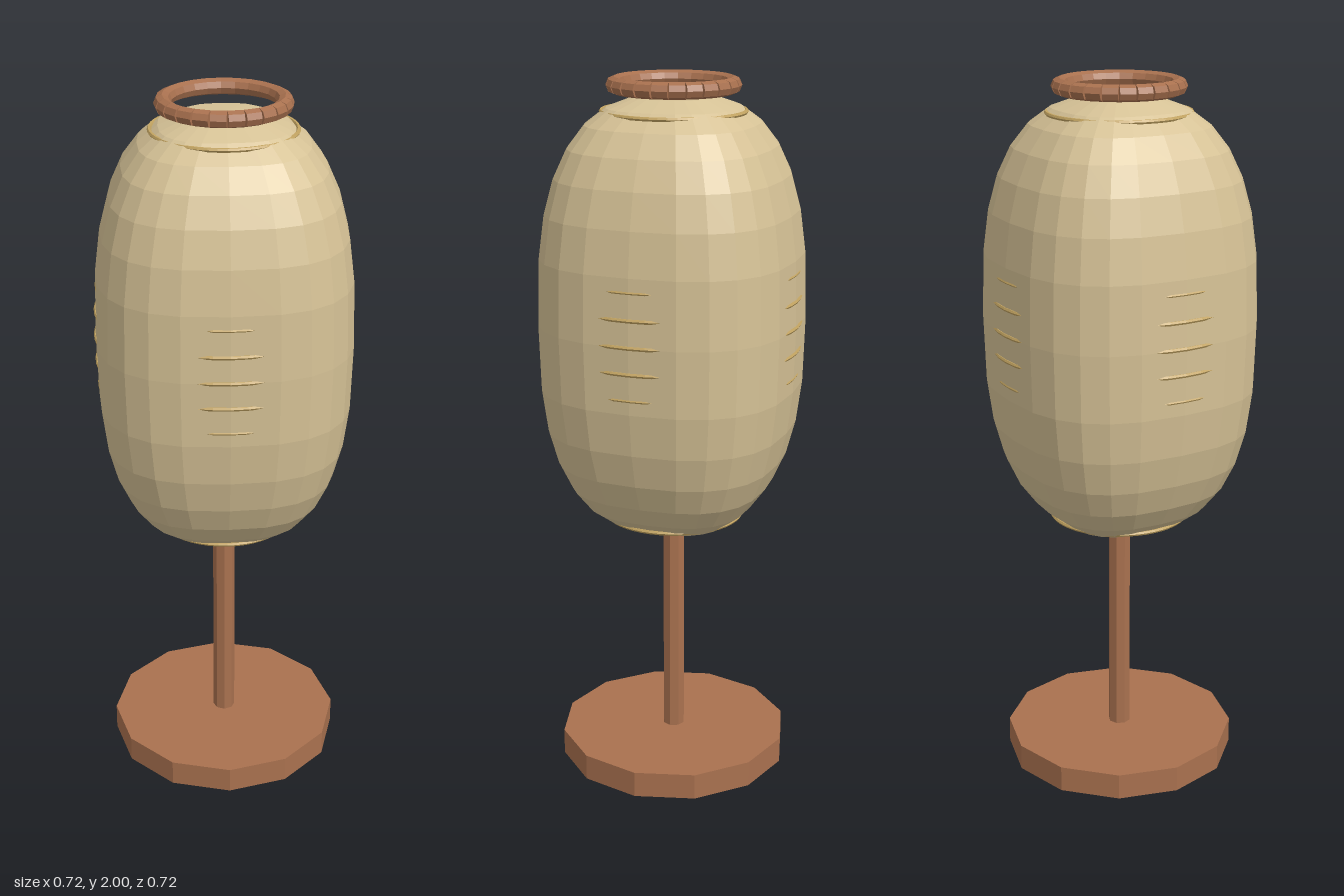
import * as THREE from 'three';

const material = (name, color) => {
  const m = new THREE.MeshStandardMaterial({ color, flatShading: true });
  m.name = name;
  return m;
};

export function createModel() {
  const model = new THREE.Group();
  model.name = 'lanternLamp';
  const wood = material('wood', 0xa9714f);
  const paper = material('paper', 0xd6c296);
  const cane = material('cane', 0xc4a562);

  const add = (name, geometry, mat, x = 0, y = 0, z = 0, parent = model) => {
    const mesh = new THREE.Mesh(geometry, mat);
    mesh.name = name;
    mesh.position.set(x, y, z);
    parent.add(mesh);
    return mesh;
  };

  // Twelve-sided foot and slim pole
  add('base', new THREE.CylinderGeometry(0.334, 0.334, 0.075, 12), wood, 0, 0.0375, 0);
  add('pole', new THREE.CylinderGeometry(0.032, 0.032, 0.67, 8), wood, 0, 0.4, 0);

  // Paper shade: a sphere squared off by a power rule, then stretched
  const centreY = 1.335;
  const shade = new THREE.SphereGeometry(1, 24, 16);
  const pos = shade.attributes.position;
  const square = (v) => (Math.abs(v) < 1e-6 ? 0 : Math.sign(v) * Math.abs(v) ** 0.74);
  for (let i = 0; i < pos.count; i++) {
    pos.setXYZ(i, 0.355 * square(pos.getX(i)), 0.62 * square(pos.getY(i)), 0.355 * square(pos.getZ(i)));
  }
  shade.computeVertexNormals();
  add('shade', shade, paper, 0, centreY, 0);

  // Round cane hoops that break the surface only at the middle of each side
  const ribs = new THREE.Group();
  ribs.name = 'ribs';
  model.add(ribs);
  const hoop = (dy, radius) => {
    const geo = new THREE.TorusGeometry(radius, 0.006, 6, 48).rotateX(Math.PI / 2);
    add('rib', geo, cane, 0, centreY + dy, 0, ribs);
  };
  hoop(0, 0.354);
  for (const side of [-1, 1]) {
    hoop(side * 0.073, 0.352);
    hoop(side * 0.146, 0.347);
    hoop(side * 0.573, 0.196);
  }

  // Top collar of short rods, leaving wedge gaps on the outer edge
  const collar = new THREE.Group();
  collar.name = 'collar';
  model.add(collar);
  const count = 24, radius = 0.16;
  const rod = new THREE.CylinderGeometry(0.0225, 0.0225, (2 * Math.PI * radius) / count, 8).rotateZ(Math.PI / 2);
  for (let i = 0; i < count; i++) {
    const a = ((i + 0.5) / count) * Math.PI * 2;
    const piece = add('collarRod', rod, wood, radius * Math.sin(a), 1.9775, radius * Math.cos(a), collar);
    piece.rotation.y = a;
  }

  return model;
}
